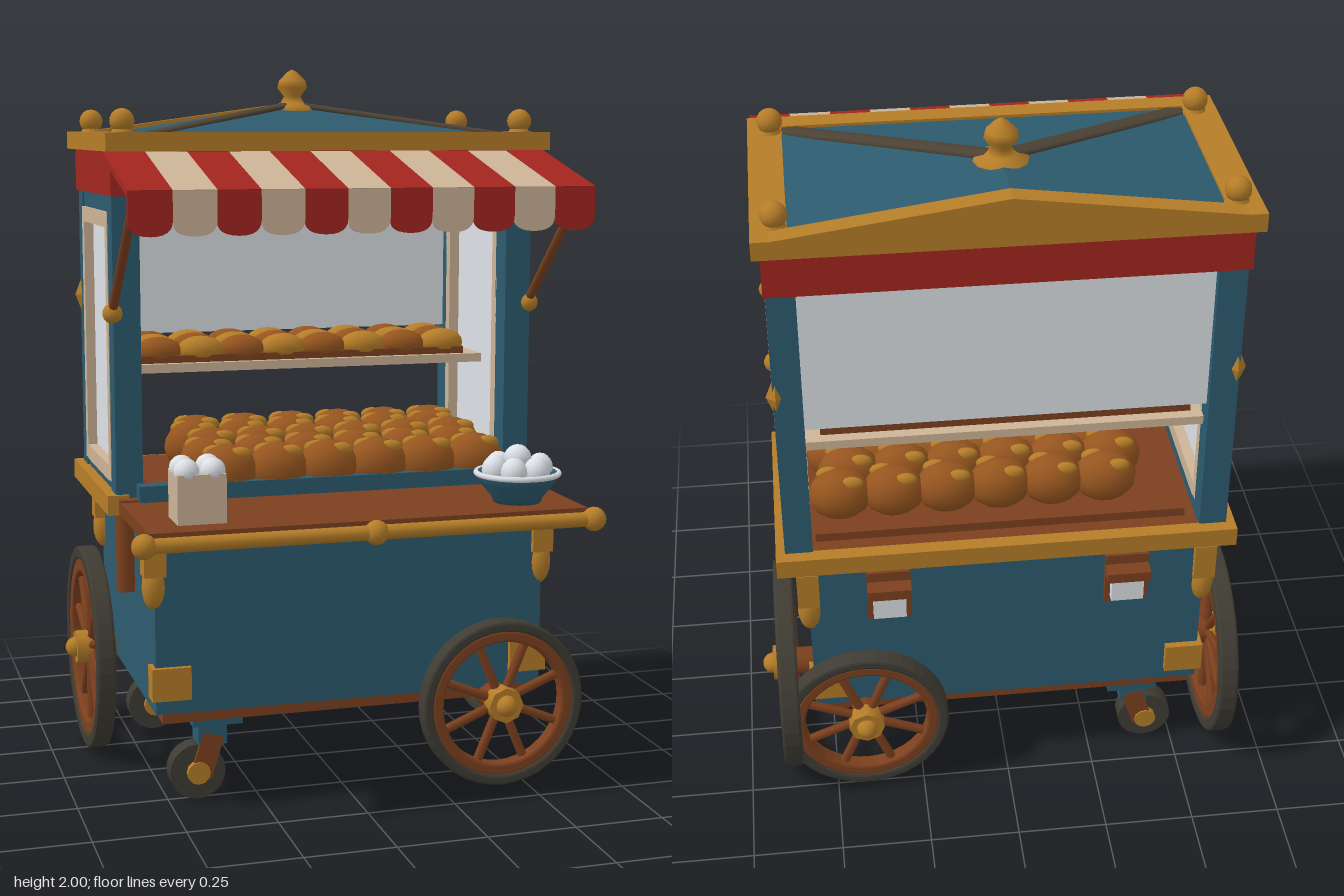
import * as THREE from 'three';

const mat = (name, color, extra = {}) => Object.assign(new THREE.MeshStandardMaterial({ color, ...extra }), { name });
const blue = mat('blue paint', 0x2c5b6e), gold = mat('gold trim', 0xb57d28), red = mat('red cloth', 0xa3261f);
const cream = mat('cream', 0xcdb497), wood = mat('wood', 0x7c401e), tyre = mat('tyre', 0x3f3c33);
const white = mat('white glass', 0xdde1e6), crust = mat('crust', 0x96551f), rib = mat('dark rib', 0x4c4234);

function add(parent, name, geo, material, x = 0, y = 0, z = 0) {
  const m = new THREE.Mesh(geo, material);
  m.name = name;
  m.position.set(x, y, z);
  parent.add(m);
  return m;
}
// box given by its limits
const span = (p, name, m, x0, x1, y0, y1, z0, z1) =>
  add(p, name, new THREE.BoxGeometry(x1 - x0, y1 - y0, z1 - z0), m, (x0 + x1) / 2, (y0 + y1) / 2, (z0 + z1) / 2);
const ball = (p, name, m, r, x, y, z, sx = 1, sy = 1, sz = 1) => {
  const b = add(p, name, new THREE.SphereGeometry(r, 14, 10), m, x, y, z);
  b.scale.set(sx, sy, sz);
  return b;
};
// round bar between two points
function bar(p, name, m, a, b, r, sides = 10) {
  const A = new THREE.Vector3(...a), B = new THREE.Vector3(...b), d = B.clone().sub(A);
  const c = add(p, name, new THREE.CylinderGeometry(r, r, d.length(), sides), m);
  c.position.copy(A).add(B).multiplyScalar(0.5);
  c.quaternion.setFromUnitVectors(new THREE.Vector3(0, 1, 0), d.normalize());
  return c;
}
// ring around the z axis
function ring(r0, r1, w) {
  const s = new THREE.Shape().absarc(0, 0, r1, 0, Math.PI * 2);
  s.holes.push(new THREE.Path().absarc(0, 0, r0, 0, Math.PI * 2, true));
  const e = 0.008;
  return new THREE.ExtrudeGeometry(s, { depth: w - 2 * e, bevelSize: e, bevelThickness: e, bevelOffset: -e, bevelSegments: 2, curveSegments: 20 })
    .translate(0, 0, -w / 2 + e);
}
// spoked wheel whose outside faces +z
function wheel(p, name, R, spokes, x, y, z, turn) {
  const g = new THREE.Group();
  g.name = name;
  add(g, 'tyre', ring(R * 0.87, R, 0.055), tyre);
  add(g, 'rim', ring(R * 0.74, R * 0.89, 0.045), wood);
  for (let i = 0; i < spokes; i++) {
    const a = (i + 0.5) / spokes * Math.PI * 2, c = Math.cos(a), s = Math.sin(a);
    bar(g, 'spoke', wood, [c * 0.03, s * 0.03, 0], [c * R * 0.78, s * R * 0.78, 0], 0.013, 6);
  }
  bar(g, 'axle', wood, [0, 0, -0.12], [0, 0, 0.03], 0.04);
  bar(g, 'hub', gold, [0, 0, 0], [0, 0, 0.045], 0.05, 8);
  ball(g, 'hubCap', gold, 0.03, 0, 0, 0.045);
  g.position.set(x, y, z);
  g.rotation.y = turn;
  p.add(g);
}

function cart(g) {
  span(g, 'body', blue, -0.55, 0.55, 0.28, 0.79, -0.46, 0.36);
  // under frame
  for (const z of [-0.42, 0.32]) span(g, 'frameRail', wood, -0.5, 0.5, 0.25, 0.285, z - 0.03, z + 0.03);
  for (const x of [-0.5, 0.5]) span(g, 'frameRail', wood, x - 0.03, x + 0.03, 0.25, 0.285, -0.45, 0.35);
  // corner ornaments
  for (const x of [-0.55, 0.55]) for (const z of [-0.45, 0.345]) {
    span(g, 'cornerCap', gold, x - 0.03, x + 0.03, 0.66, 0.77, z - 0.03, z + 0.03);
    ball(g, 'cornerScroll', gold, 0.04, x, 0.63, z, 0.8, 1.6, 0.8);
    span(g, 'cornerFoot', gold, Math.min(x, x * 0.85) - 0.012, Math.max(x, x * 0.85) + 0.012, 0.32, 0.41, z - 0.03, z + 0.03);
  }
  // hanging straps on the sides
  for (const s of [-1, 1]) {
    bar(g, 'strap', wood, [s * 0.57, 0.55, 0.05], [s * 0.57, 0.79, 0.05], 0.028, 8);
  }
  // towel brackets at the back
  for (const x of [-0.33, 0.33]) {
    span(g, 'bracket', wood, x - 0.06, x + 0.06, 0.7, 0.73, -0.52, -0.45);
    span(g, 'bracketBack', wood, x - 0.06, x + 0.06, 0.6, 0.76, -0.475, -0.455);
    span(g, 'towel', white, x - 0.045, x + 0.045, 0.62, 0.7, -0.5, -0.47);
  }
  // casters
  for (const z of [-0.38, 0.25]) {
    span(g, 'casterBlock', blue, -0.44, -0.3, 0.22, 0.29, z - 0.06, z + 0.06);
    span(g, 'casterStem', blue, -0.42, -0.34, 0.16, 0.24, z - 0.04, z + 0.04);
    for (const d of [-0.035, 0.035]) {
      const fork = span(g, 'casterFork', wood, -0.425, -0.365, 0.07, 0.19, z + d - 0.006, z + d + 0.006);
      fork.rotation.z = -0.3;
    }
    bar(g, 'casterWheel', tyre, [-0.42, 0.082, z - 0.027], [-0.42, 0.082, z + 0.027], 0.078, 20);
    bar(g, 'casterHub', gold, [-0.42, 0.082, z - 0.045], [-0.42, 0.082, z + 0.045], 0.032, 12);
  }
  for (const s of [-1, 1]) wheel(g, 'largeWheel', 0.3, 10, s * 0.622, 0.3, -0.29, s * Math.PI / 2);
  wheel(g, 'frontWheel', 0.235, 8, 0.41, 0.255, 0.425, 0);
  wheel(g, 'backWheel', 0.235, 8, 0.41, 0.255, -0.5, Math.PI);
}

function counter(g) {
  span(g, 'countertop', wood, -0.6, 0.6, 0.785, 0.825, -0.47, 0.15);
  for (const s of [-1, 1]) span(g, 'sideTrim', gold, s * 0.6 - 0.03, s * 0.6 + 0.03, 0.78, 0.835, -0.49, 0.12);
  span(g, 'backTrim', gold, -0.6, 0.6, 0.78, 0.835, -0.49, -0.45);
  // serving board with front rail
  span(g, 'servingBoard', wood, -0.6, 0.6, 0.785, 0.82, 0.13, 0.555);
  bar(g, 'frontRail', gold, [-0.61, 0.79, 0.565], [0.61, 0.79, 0.565], 0.02);
  for (const x of [-0.615, 0, 0.615]) ball(g, 'railKnob', gold, 0.033, x, 0.79, 0.565);
  // paper box of eggs
  span(g, 'paperBox', cream, -0.51, -0.38, 0.82, 0.95, 0.36, 0.48);
  for (const x of [-0.48, -0.41]) for (const z of [0.39, 0.45]) ball(g, 'egg', white, 0.034, x, 0.955, z);
  // bowl of eggs
  const prof = [[0, 0], [0.065, 0], [0.07, 0.015], [0.1, 0.05], [0.117, 0.085], [0.105, 0.085], [0, 0.06]].map(p => new THREE.Vector2(...p));
  add(g, 'bowl', new THREE.LatheGeometry(prof, 24), blue, 0.45, 0.82, 0.42);
  const band = add(g, 'bowlRim', new THREE.TorusGeometry(0.113, 0.008, 6, 24), white, 0.45, 0.9, 0.42);
  band.rotation.x = Math.PI / 2;
  for (let i = 0; i < 6; i++) {
    const a = i * Math.PI / 3;
    ball(g, 'egg', white, 0.036, 0.45 + 0.066 * Math.cos(a), 0.91, 0.42 + 0.066 * Math.sin(a), 1, 1.15, 1);
  }
  ball(g, 'egg', white, 0.038, 0.45, 0.94, 0.42);
}

function cabinet(g) {
  for (const s of [-1, 1]) {
    const side = (name, m, x0, x1, ...r) => span(g, name, m, Math.min(s * x0, s * x1), Math.max(s * x0, s * x1), ...r);
    side('frontPost', blue, 0.53, 0.605, 0.82, 1.66, 0.035, 0.11);
    side('backPost', blue, 0.53, 0.605, 0.82, 1.66, -0.455, -0.385);
    side('sideLintel', blue, 0.53, 0.6, 1.6, 1.66, -0.39, 0.04);
    side('sideSill', blue, 0.53, 0.6, 0.82, 0.865, -0.39, 0.04);
    // side window with frame
    for (const z of [-0.372, 0.022]) side('windowFrame', cream, 0.53, 0.607, 0.86, 1.605, z - 0.018, z + 0.018);
    for (const y of [0.873, 1.578]) side('windowFrame', cream, 0.53, 0.607, y - 0.016, y + 0.027, -0.36, 0.01);
    side('sideGlass', white, 0.56, 0.58, 0.885, 1.57, -0.36, 0.01);
    const stud = add(g, 'postDiamond', new THREE.OctahedronGeometry(0.05), gold, s * 0.598, 1.34, -0.445);
    stud.scale.set(0.5, 1.3, 0.5);
  }
  span(g, 'backGlass', white, -0.535, 0.535, 1.22, 1.66, -0.43, -0.415);
  span(g, 'frontLintel', blue, -0.54, 0.54, 1.6, 1.66, 0.05, 0.1);
  span(g, 'frontSill', blue, -0.55, 0.55, 0.77, 0.865, 0.115, 0.165);
  // upper shelf and its pastries
  span(g, 'shelf', cream, -0.54, 0.54, 1.14, 1.165, -0.41, -0.1);
  span(g, 'shelfTray', wood, -0.5, 0.49, 1.165, 1.185, -0.38, -0.12);
  for (let r = 0; r < 3; r++) for (let i = 0; i < 8; i++) {
    const x = -0.43 + i * 0.123, z = -0.33 + r * 0.085;
    ball(g, 'shelfPastry', (i + r) % 2 ? gold : crust, 0.07, x, 1.195, z, 1, 0.6, 0.65);
  }
  // lower display, rising to the back
  for (let r = 0; r < 5; r++) for (let i = 0; i < 6; i++) {
    const x = -0.29 + i * 0.147 - (r % 2) * 0.03, z = 0.1 - r * 0.1;
    ball(g, 'bun', crust, 0.088, x, 0.885 + 0.008 * Math.min(r, 3), z, 1, 0.85, 0.75);
    for (const d of [-0.03, 0.03]) ball(g, 'glaze', gold, 0.034, x + d, 0.935 + 0.008 * Math.min(r, 3), z + d * 0.9, 1, 0.6, 0.5);
  }
  span(g, 'displayTray', wood, -0.5, 0.52, 0.825, 0.85, -0.4, 0.11);
}

function roof(g) {
  span(g, 'frieze', red, -0.61, 0.61, 1.65, 1.78, -0.475, 0.13);
  // gold cornice
  const rim = new THREE.Shape([[-0.63, -0.18], [0.63, -0.18], [0.63, 0.5], [-0.63, 0.5]].map(p => new THREE.Vector2(...p)));
  rim.holes.push(new THREE.Path([[-0.54, -0.12], [-0.54, 0.44], [0.54, 0.44], [0.54, -0.12]].map(p => new THREE.Vector2(...p))));
  const cornice = add(g, 'cornice', new THREE.ExtrudeGeometry(rim, { depth: 0.05, bevelEnabled: false }), gold, 0, 1.77, 0);
  cornice.rotation.x = -Math.PI / 2;
  const gable = new THREE.Shape([[-0.62, 0], [0.62, 0], [0, 0.085]].map(p => new THREE.Vector2(...p)));
  add(g, 'backGable', new THREE.ExtrudeGeometry(gable, { depth: 0.055, bevelEnabled: false }), gold, 0, 1.815, -0.5);
  // hipped panels meeting a short ridge
  const A = [-0.55, 1.81, 0.13], B = [0.55, 1.81, 0.13], C = [0.55, 1.81, -0.46], D = [-0.55, 1.81, -0.46];
  const P = [0, 1.895, -0.27], Q = [0, 1.895, -0.46];
  const geo = new THREE.BufferGeometry();
  geo.setAttribute('position', new THREE.Float32BufferAttribute([A, B, P, B, C, Q, B, Q, P, D, A, P, D, P, Q, C, D, Q].flat(), 3));
  geo.computeVertexNormals();
  add(g, 'roofPanels', geo, blue);
  for (const e of [A, B]) {
    const hip = bar(g, 'hipRib', rib, e, P, 0.03, 8);
    hip.scale.set(1, 1, 0.3);
    hip.lookAt(0, 1.9, -0.27);
    hip.rotateX(Math.PI / 2);
  }
  for (const x of [-0.57, 0.57]) for (const z of [-0.42, 0.095]) {
    add(g, 'knobFoot', new THREE.CylinderGeometry(0.02, 0.035, 0.03, 12), gold, x, 1.825, z);
    ball(g, 'cornerKnob', gold, 0.034, x, 1.85, z);
  }
  const prof = [[0, -0.03], [0.075, -0.03], [0.07, 0], [0.035, 0.012], [0.025, 0.03], [0.045, 0.055], [0.04, 0.075], [0.015, 0.1], [0, 0.108]];
  add(g, 'finial', new THREE.LatheGeometry(prof.map(p => new THREE.Vector2(...p)), 12), gold, 0, 1.892, -0.265);
}

function awning(g) {
  const n = 11, w = 1.26 / n, drop = 0.09, run = 0.36;
  // scalloped flap
  const flap = new THREE.Shape().moveTo(-w / 2, 0).lineTo(-w / 2, -0.075);
  flap.quadraticCurveTo(-w / 2, -0.115, 0, -0.115).quadraticCurveTo(w / 2, -0.115, w / 2, -0.075).lineTo(w / 2, 0);
  const flapGeo = new THREE.ExtrudeGeometry(flap, { depth: 0.012, bevelEnabled: false, curveSegments: 6 });
  for (let i = 0; i < n; i++) {
    const x = -0.63 + w * (i + 0.5), m = i % 2 ? cream : red;
    const s = add(g, 'awningStripe', new THREE.BoxGeometry(w, 0.018, Math.hypot(drop, run)), m, x, 1.715, 0.31);
    s.rotation.x = Math.atan2(drop, run);
    add(g, 'awningFlap', flapGeo, m, x, 1.677, 0.48);
  }
  // support arms
  for (const s of [-1, 1]) {
    bar(g, 'awningArm', wood, [s * 0.605, 1.34, 0.1], [s * 0.605, 1.65, 0.44], 0.013, 8);
    ball(g, 'armKnob', gold, 0.028, s * 0.605, 1.335, 0.1);
  }
}

export function createModel() {
  const root = new THREE.Group();
  root.name = 'foodCart';
  for (const [name, build] of Object.entries({ cart, counter, cabinet, roof, awning })) {
    const g = new THREE.Group();
    g.name = name;
    build(g);
    root.add(g);
  }
  return root;
}
